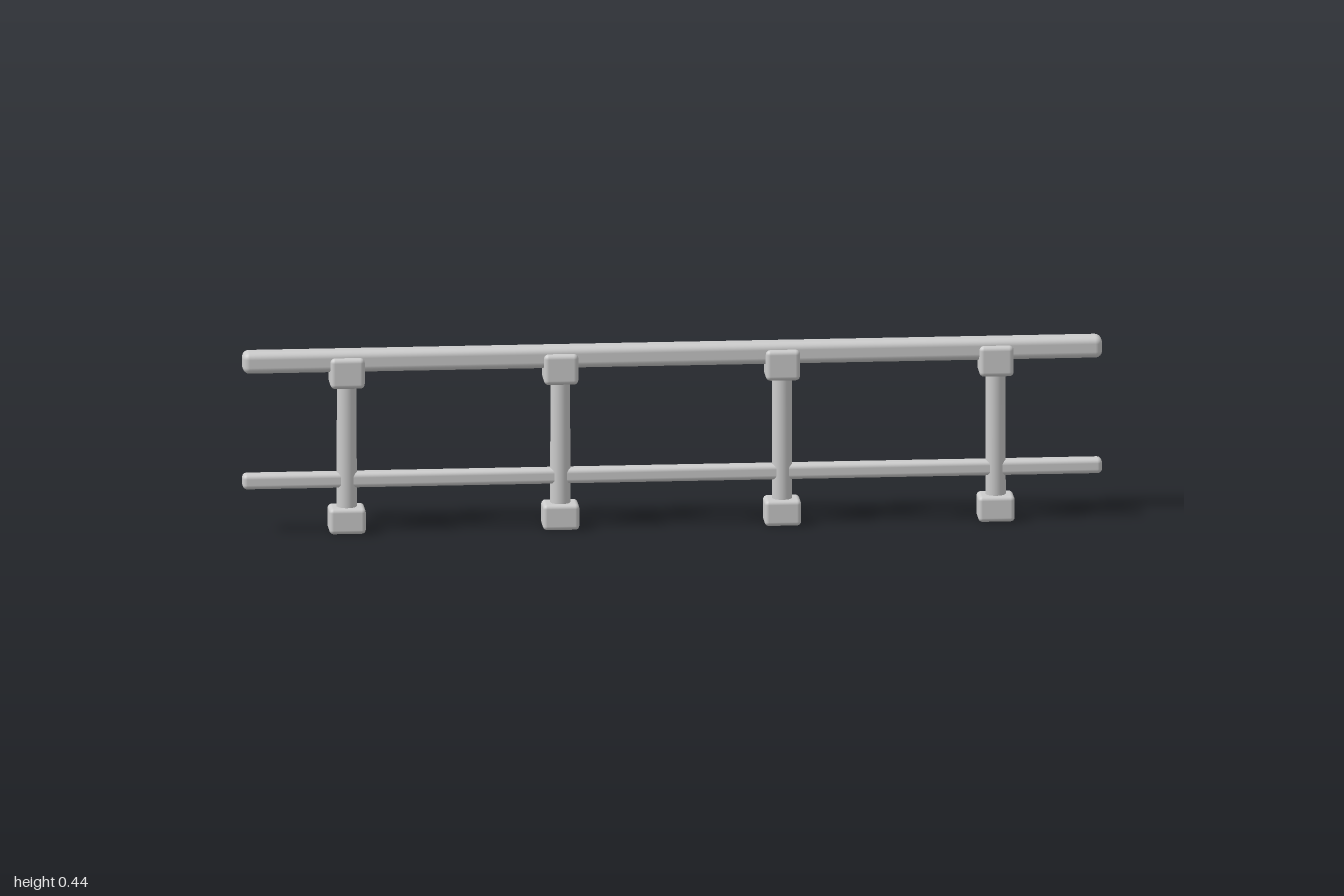
import * as THREE from 'three';
import { RoundedBoxGeometry } from 'three/addons/geometries/RoundedBoxGeometry.js';

export function createModel() {
  const model = new THREE.Group();
  model.name = 'railing';
  const metal = new THREE.MeshStandardMaterial({ color: 0xcccccc });
  metal.name = 'light grey metal';

  function add(name, geometry, x, y, parent = model) {
    const mesh = new THREE.Mesh(geometry, metal);
    mesh.name = name;
    mesh.position.set(x, y, 0);
    parent.add(mesh);
  }

  // long horizontal rails with softened edges
  add('handrail', new RoundedBoxGeometry(2, 0.051, 0.052, 4, 0.016), 0, 0.4095);
  add('lowerRail', new RoundedBoxGeometry(2, 0.036, 0.037, 4, 0.011), 0, 0.125);

  // shared post parts
  const footGeometry = new RoundedBoxGeometry(0.085, 0.061, 0.07, 3, 0.01);
  const postGeometry = new THREE.CylinderGeometry(0.0228, 0.0238, 0.34, 32);
  const bracketGeometry = new RoundedBoxGeometry(0.08, 0.073, 0.074, 3, 0.011);

  // four posts, each with a foot and a bracket holding the handrail
  for (const x of [-0.757, -0.26, 0.256, 0.753]) {
    const support = new THREE.Group();
    support.name = 'support';
    support.position.x = x;
    add('foot', footGeometry, 0, 0.0305, support);
    add('post', postGeometry, 0, 0.21, support);
    add('bracket', bracketGeometry, 0, 0.3835, support);
    model.add(support);
  }
  return model;
}
